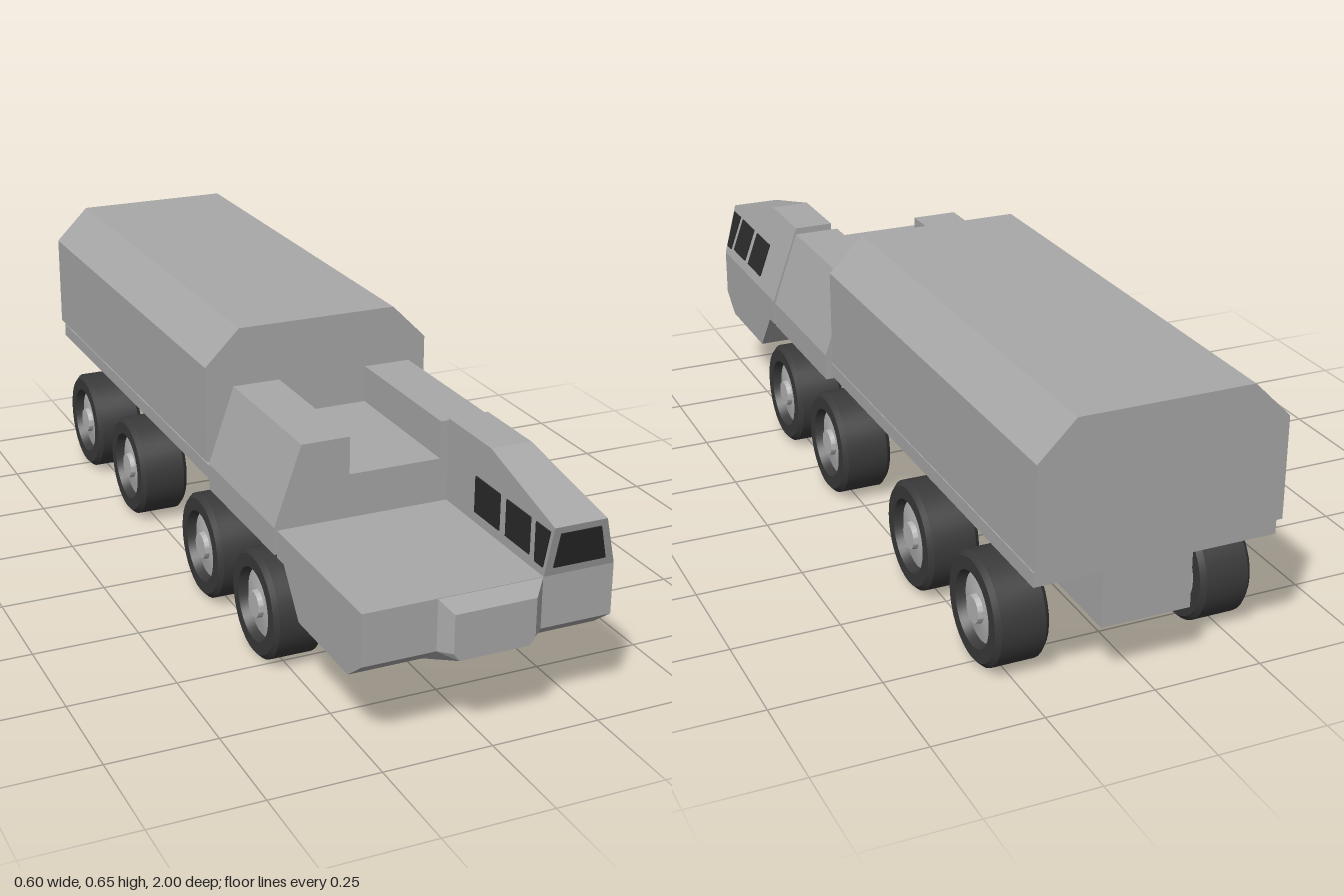
import * as THREE from 'three';
import { toCreasedNormals } from 'three/addons/utils/BufferGeometryUtils.js';

const mat = (name, color) => new THREE.MeshStandardMaterial({ name, color });

const shapeOf = (pts) => new THREE.Shape(pts.map(([a, b]) => new THREE.Vector2(a, b)));

// Front profile (x, y) swept from z0 to z1
function alongZ(pts, z0, z1) {
  return new THREE.ExtrudeGeometry(shapeOf(pts), { depth: z1 - z0, bevelEnabled: false }).translate(0, 0, z0);
}

// Side profile (z, y) swept from x0 to x1
function alongX(pts, x0, x1) {
  return new THREE.ExtrudeGeometry(shapeOf(pts), { depth: x1 - x0, bevelEnabled: false })
    .rotateY(-Math.PI / 2).translate(x1, 0, 0);
}

// Move every vertex by a rule, keeping flat faces
function reshape(geo, rule) {
  const p = geo.attributes.position, v = new THREE.Vector3();
  for (let i = 0; i < p.count; i++) {
    rule(v.fromBufferAttribute(p, i));
    p.setXYZ(i, v.x, v.y, v.z);
  }
  geo.computeVertexNormals();
  return geo;
}

// Walls between two matching rings, plus a cap on the front ring
function loft(back, front) {
  const pos = [], n = back.length;
  for (let i = 0; i < n; i++) {
    const j = (i + 1) % n;
    pos.push(...back[i], ...back[j], ...front[j], ...back[i], ...front[j], ...front[i]);
    if (i > 0 && i < n - 1) pos.push(...front[0], ...front[i], ...front[i + 1]);
  }
  const geo = new THREE.BufferGeometry();
  geo.setAttribute('position', new THREE.Float32BufferAttribute(pos, 3));
  geo.computeVertexNormals();
  return geo;
}

const lathe = (pts) => toCreasedNormals(
  new THREE.LatheGeometry(pts.map(([r, y]) => new THREE.Vector2(r, y)), 32).rotateZ(-Math.PI / 2), 0.5);

export function createModel() {
  const body = mat('body grey', 0xa8a8a8);
  const rubber = mat('tyre rubber', 0x3a3a3a);
  const metal = mat('wheel metal', 0xb4b4b4);
  const glass = mat('dark glass', 0x2a2a2a);

  const model = new THREE.Group();
  model.name = 'truck';
  const add = (name, geo, material, parent = model) => {
    const mesh = new THREE.Mesh(geo, material);
    mesh.name = name;
    parent.add(mesh);
    return mesh;
  };

  // Chassis beam with a rising nose
  add('chassis', alongX([[-0.95, 0.145], [0.64, 0.145], [0.82, 0.182], [0.82, 0.25], [0.6, 0.297], [-0.95, 0.297]],
    -0.103, 0.103), body);

  // Load bed and the chamfered cargo body
  add('bedPlate', alongZ([[-0.275, 0.296], [0.275, 0.296], [0.275, 0.329], [-0.275, 0.329]], -0.985, 0.137), body);
  add('bedSpacer', alongZ([[-0.26, 0.328], [0.26, 0.328], [0.26, 0.338], [-0.26, 0.338]], -0.97, 0.11), body);
  add('cargoBody', alongZ([[-0.279, 0.337], [0.279, 0.337], [0.279, 0.568], [0.195, 0.652],
    [-0.195, 0.652], [-0.279, 0.568]], -1, 0.125), body);

  // Engine housing with a sunken middle
  add('engineHousing', alongZ([[-0.285, 0.282], [0.285, 0.282], [0.285, 0.345], [0.222, 0.526], [0.109, 0.526],
    [0.109, 0.439], [-0.109, 0.439], [-0.109, 0.526], [-0.222, 0.526], [-0.285, 0.345]], 0.155, 0.536), body);

  // Lower front hull
  add('frontHull', alongX([[0.55, 0.282], [0.587, 0.282], [0.665, 0.182], [0.907, 0.182], [0.967, 0.228],
    [0.967, 0.345], [0.55, 0.345]], -0.285, 0.285), body);

  // Raised nose panel in the centre of the hull
  add('nosePanel', loft(
    [[-0.12, 0.345, 0.966], [-0.12, 0.228, 0.966], [-0.12, 0.182, 0.906],
      [0.12, 0.182, 0.906], [0.12, 0.228, 0.966], [0.12, 0.345, 0.966]],
    [[-0.093, 0.315, 0.992], [-0.093, 0.228, 0.992], [-0.08, 0.21, 0.992],
      [0.08, 0.21, 0.992], [0.093, 0.228, 0.992], [0.093, 0.315, 0.992]]), body);

  // One-sided cab: the outer wall leans inwards with height
  const lean = (y) => 0.36 * (y - 0.345);
  const cab = new THREE.Group();
  cab.name = 'cab';
  model.add(cab);
  add('cabShell', reshape(alongX([[0.55, 0.345], [0.967, 0.345], [1, 0.466], [0.737, 0.537], [0.55, 0.537]],
    0.12, 0.285), (v) => { if (v.x > 0.2) v.x -= lean(v.y); }), body, cab);

  // Windscreen, leaning with the cab front
  add('windscreen', reshape(alongZ([[0.137, 0.365], [0.259, 0.365], [0.23, 0.45], [0.137, 0.45]], 0.965, 0.97),
    (v) => { v.z += 0.273 * (v.y - 0.345); }), glass, cab);

  // Three windows on each side of the cab
  const windows = [
    [[0.931, 0.365], [0.963, 0.365], [0.986, 0.453], [0.931, 0.453]],
    [[0.812, 0.37], [0.909, 0.37], [0.909, 0.453], [0.812, 0.453]],
    [[0.68, 0.37], [0.785, 0.37], [0.785, 0.453], [0.68, 0.453]],
  ];
  for (const pts of windows) {
    add('outerWindow', reshape(alongX(pts, 0.283, 0.288), (v) => { v.x -= lean(v.y); }), glass, cab);
    add('innerWindow', alongX(pts, 0.117, 0.122), glass, cab);
  }

  // Eight wheels
  const tyreGeo = lathe([[0.08, -0.052], [0.085, -0.061], [0.115, -0.061], [0.126, -0.05], [0.126, 0.05],
    [0.115, 0.061], [0.085, 0.061], [0.078, 0.04]]);
  const rimGeo = lathe([[0, -0.053], [0.081, -0.053], [0.079, 0.04], [0.032, 0.048], [0.03, 0.06], [0, 0.06]]);
  for (const z of [0.45, 0.124, -0.402, -0.75]) {
    for (const side of [1, -1]) {
      const wheel = new THREE.Group();
      wheel.name = side > 0 ? 'leftWheel' : 'rightWheel';
      wheel.position.set(side * 0.239, 0.127, z);
      if (side < 0) wheel.rotation.y = Math.PI;
      add('tyre', tyreGeo, rubber, wheel);
      add('rim', rimGeo, metal, wheel);
      model.add(wheel);
    }
  }
  return model;
}
